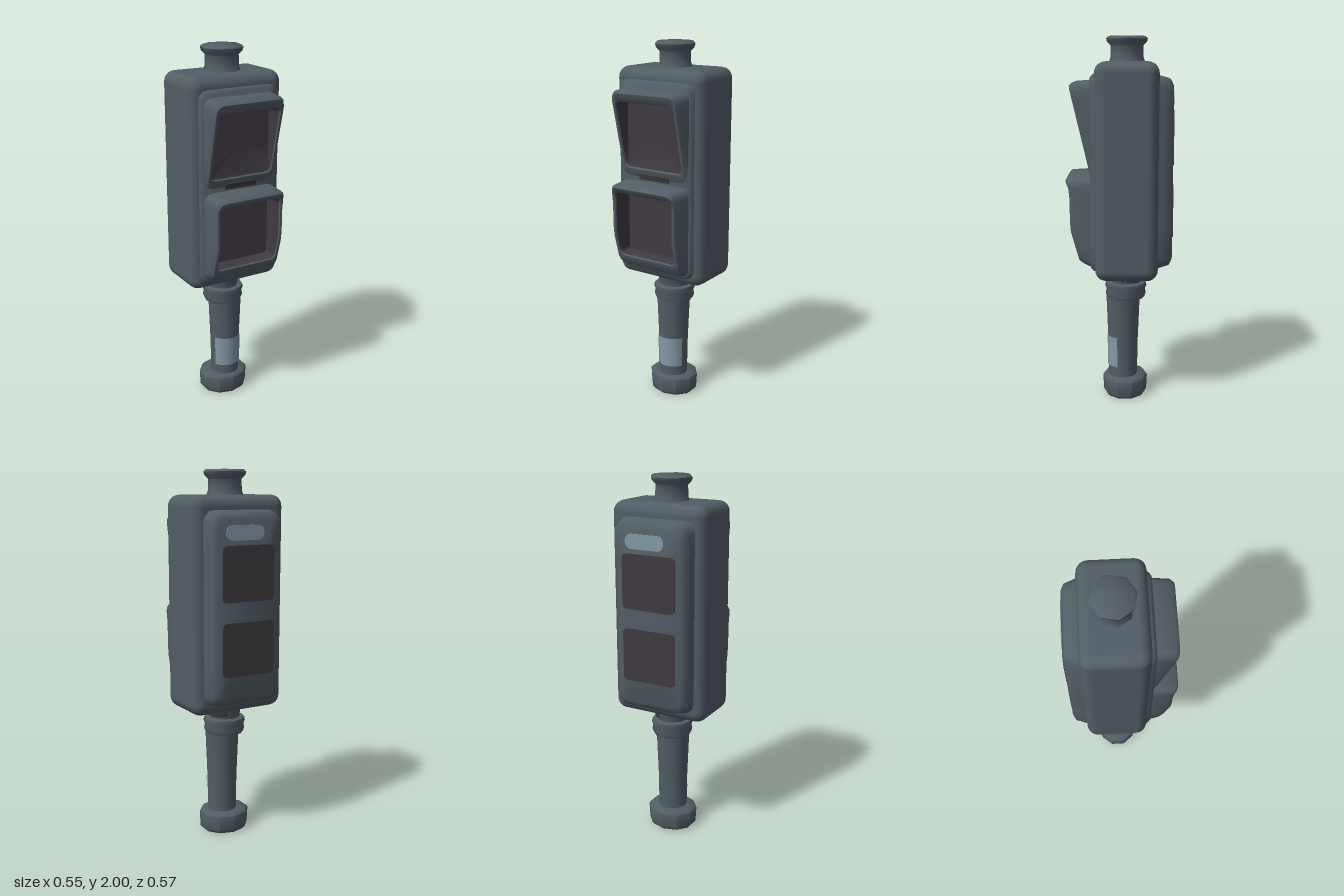
import * as THREE from 'three';
import { toCreasedNormals } from 'three/addons/utils/BufferGeometryUtils.js';
import { RoundedBoxGeometry } from 'three/addons/geometries/RoundedBoxGeometry.js';

const housing = new THREE.MeshStandardMaterial({ color: 0x525d65 });
housing.name = 'slate housing';
const glass = new THREE.MeshStandardMaterial({ color: 0x3f3a41 });
glass.name = 'dark glass';
const label = new THREE.MeshStandardMaterial({ color: 0x8398a6 });
label.name = 'pale label';

// Rounded rectangle ring, counter-clockwise; z may be a number or a function of y
function ring(halfW, y0, y1, r, z) {
  const pts = [];
  const corners = [[halfW - r, y0 + r, -90], [halfW - r, y1 - r, 0], [r - halfW, y1 - r, 90], [r - halfW, y0 + r, 180]];
  const add = (x, y) => pts.push([x, y, typeof z === 'function' ? z(y) : z]);
  corners.forEach(([cx, cy, start], k) => {
    for (let i = 0; i <= 3; i++) {
      const a = THREE.MathUtils.degToRad(start + i * 30);
      add(cx + r * Math.cos(a), cy + r * Math.sin(a));
    }
    // extra points up the straight sides, so they can follow a bent profile
    if (k % 2 === 0) {
      const x = k === 0 ? halfW : -halfW;
      for (let i = 1; i < 6; i++) {
        const t = k === 0 ? i / 6 : 1 - i / 6;
        add(x, y0 + r + t * (y1 - y0 - 2 * r));
      }
    }
  });
  return pts;
}

// Skin joining successive rings, optionally closed at the last one
function loft(rings, cap) {
  const n = rings[0].length;
  const pos = rings.flat(2);
  const index = [];
  for (let s = 0; s < rings.length - 1; s++) {
    for (let i = 0; i < n; i++) {
      const a = s * n + i, b = s * n + (i + 1) % n;
      index.push(a, b, b + n, a, b + n, a + n);
    }
  }
  if (cap) {
    const last = rings[rings.length - 1];
    const base = (rings.length - 1) * n;
    pos.push(...[0, 1, 2].map(k => last.reduce((sum, p) => sum + p[k], 0) / n));
    for (let i = 0; i < n; i++) index.push(base + i, base + (i + 1) % n, base + n);
  }
  const g = new THREE.BufferGeometry();
  g.setAttribute('position', new THREE.Float32BufferAttribute(pos, 3));
  g.setIndex(index);
  return toCreasedNormals(g, 0.85);
}

function lathe(profile, sides) {
  const g = new THREE.LatheGeometry(profile.map(p => new THREE.Vector2(...p)), sides);
  return toCreasedNormals(g, 0.85);
}

export function createModel() {
  const model = new THREE.Group();
  model.name = 'signalLight';
  const add = (name, geometry, material, x = 0, y = 0, z = 0, parent = model) => {
    const mesh = new THREE.Mesh(geometry, material);
    mesh.name = name;
    mesh.position.set(x, y, z);
    parent.add(mesh);
    return mesh;
  };

  // Main case and raised front panel
  add('case', new RoundedBoxGeometry(0.55, 1.15, 0.335, 3, 0.06), housing, 0, 1.295, -0.035);
  add('frontPanel', loft([
    ring(0.235, 0.76, 1.81, 0.05, 0.11),
    ring(0.23, 0.765, 1.805, 0.05, 0.14),
    ring(0.215, 0.78, 1.79, 0.045, 0.155),
  ], true), housing);

  // Hooded lamps: outer shell, lip, and dark recess
  const hoods = [
    { name: 'upper', y0: 1.27, y1: 1.77, in0: 1.35, in1: 1.70, face: y => 0.155 + (y - 1.28) * 0.234 },
    { name: 'lower', y0: 0.78, y1: 1.275, in0: 0.87, in1: 1.22,
      face: y => (y > 1 ? 0.265 + Math.max(0, y - 1.2) * 0.45 : 0.265 - (1 - y) * 0.28) },
  ];
  for (const { name, y0, y1, in0, in1, face } of hoods) {
    add(name + 'Hood', loft([
      ring(0.215, y0, y1, 0.045, 0.145),
      ring(0.208, y0 + 0.02, y1 - 0.008, 0.045, y => Math.max(0.15, face(y) - 0.02)),
      ring(0.197, y0 + 0.035, y1 - 0.022, 0.04, face),
      ring(0.184, in0 - 0.01, in1 + 0.01, 0.03, face),
      ring(0.18, in0 - 0.003, in1 + 0.003, 0.025, y => face(y) - 0.008),
    ], false), housing);
    add(name + 'Lamp', loft([
      ring(0.18, in0 - 0.003, in1 + 0.003, 0.025, y => face(y) - 0.008),
      ring(0.17, in0 + 0.01, in1 - 0.01, 0.02, 0.158),
    ], true), glass);
  }
  const slot = add('slotBetweenHoods', new THREE.BoxGeometry(0.19, 0.03, 0.006), glass, 0, 1.3, 0.162);
  slot.rotation.x = 0.23;

  // Back panel, lofted forwards and turned to face the rear
  const back = new THREE.Group();
  back.name = 'back';
  back.rotation.y = Math.PI;
  model.add(back);
  add('backPanel', loft([
    ring(0.23, 0.77, 1.8, 0.06, 0.18),
    ring(0.215, 0.78, 1.79, 0.06, 0.225),
    ring(0.205, 0.79, 1.78, 0.06, 0.262),
    ring(0.18, 0.82, 1.75, 0.05, 0.278),
  ], true), housing, 0, 0, 0, back);
  const plate = (name, w, y0, y1, r, x, material) =>
    add(name, loft([ring(w, y0, y1, r, 0.277), ring(w, y0, y1, r, 0.283)], true), material, x, 0, 0, back);
  plate('upperBackWindow', 0.155, 1.33, 1.62, 0.025, 0, glass);
  plate('lowerBackWindow', 0.155, 0.94, 1.225, 0.025, 0, glass);
  plate('backLabel', 0.112, 1.645, 1.722, 0.035, -0.022, label);

  // Flared cap on top
  const cap = add('topCap', lathe([
    [0.105, 1.85], [0.09, 1.89], [0.088, 1.95], [0.108, 1.97], [0.113, 1.988], [0.1, 2], [0, 2],
  ], 8), housing, 0, 0, -0.035);
  cap.rotation.y = 0.2;

  // Neck and collar beneath the case
  add('neck', lathe([[0.085, 0.63], [0.088, 0.69], [0.11, 0.74]], 12), housing, 0, 0, -0.03);
  add('neckOpening', new THREE.CylinderGeometry(0.1, 0.094, 0.035, 8, 1, true, 1.3, 1.5),
    glass, 0, 0.69, -0.03);
  add('collar', lathe([
    [0.085, 0.565], [0.105, 0.57], [0.113, 0.59], [0.108, 0.615], [0.116, 0.635], [0.112, 0.655], [0.085, 0.66],
  ], 12), housing, 0, 0, -0.03);
  for (const side of [-1, 1]) {
    const tab = add('bottomTab', new THREE.ConeGeometry(0.012, 0.06, 4), housing, side * 0.172, 0.71, -0.03);
    tab.rotation.x = Math.PI;
  }

  // Handle pole, label and foot
  add('pole', lathe([[0.08, 0.08], [0.083, 0.3], [0.094, 0.58]], 16), housing, 0.005, 0, -0.015);
  add('poleLabel', new THREE.CylinderGeometry(0.0885, 0.0855, 0.175, 14, 1, true, -1.2, 2.4),
    label, 0.005, 0.26, -0.015);
  const foot = add('foot', lathe([
    [0, 0.03], [0.07, 0.03], [0.09, 0.002], [0.125, 0], [0.138, 0.015], [0.143, 0.1], [0.13, 0.113], [0.07, 0.115],
  ], 10), housing, 0, 0, -0.027);
  foot.scale.z = 0.88;
  return model;
}
